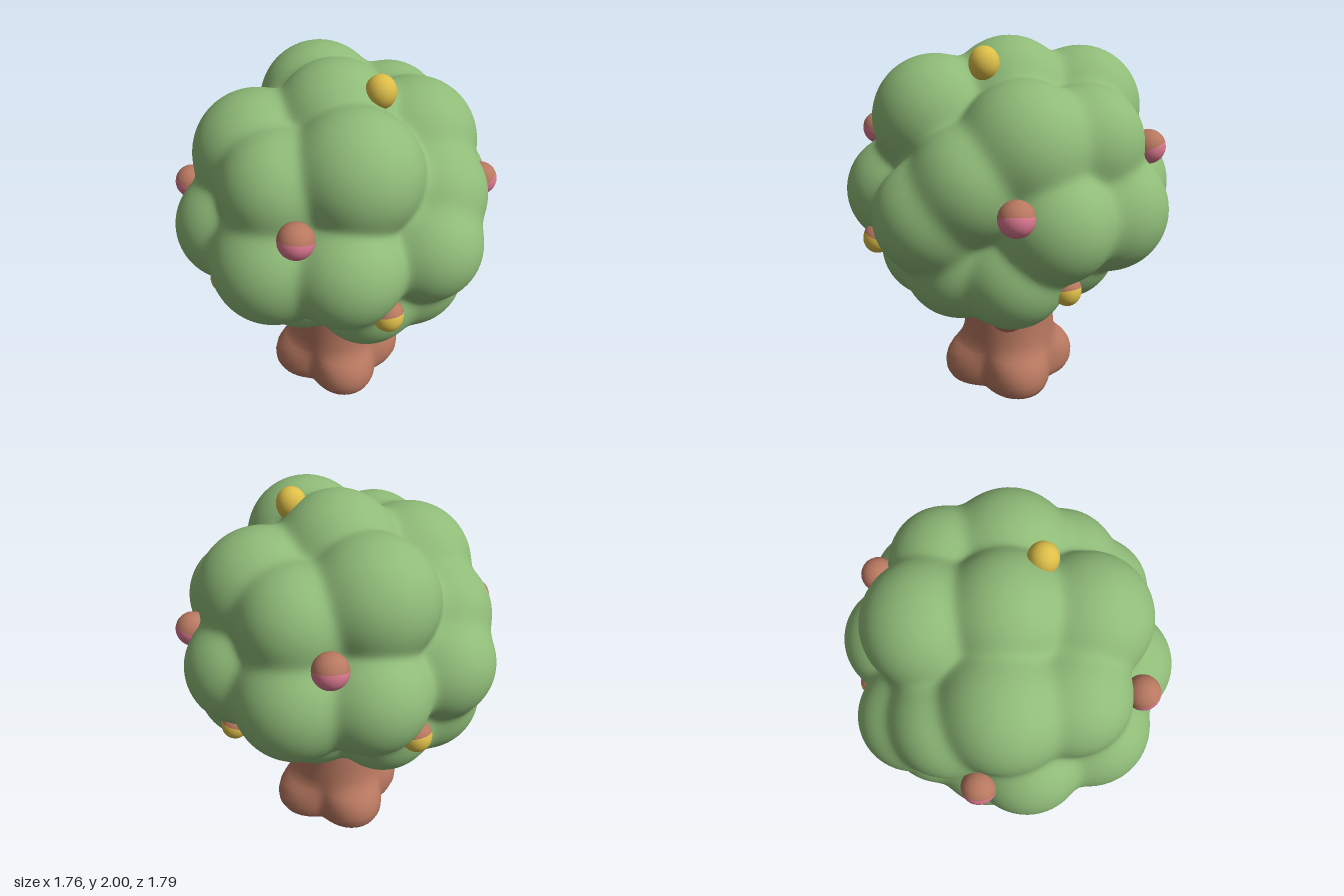
import * as THREE from 'three';
import { mergeVertices } from 'three/addons/utils/BufferGeometryUtils.js';

const mat = (name, color) => {
  const m = new THREE.MeshStandardMaterial({ color });
  m.name = name;
  return m;
};

// Foliage puffs as [x, y, z, radius]; each is repeated half a turn around y
const PAIRED_PUFFS = [
  // upper ring
  [0.28, 1.6, 0.27, 0.325], [-0.3, 1.53, 0.27, 0.333], [-0.04, 1.52, 0.47, 0.29],
  // middle ring
  [0, 1.17, 0.58, 0.317], [0.345, 1.19, 0.465, 0.295], [-0.345, 1.19, 0.465, 0.295],
  [0.59, 1.2, 0.1, 0.288], [0.5, 1.37, -0.08, 0.3],
  // lower ring
  [0.35, 0.9, 0.27, 0.275], [-0.42, 0.905, 0.27, 0.28], [0, 0.9, 0.34, 0.28],
];
// Lower sides, crown and core
const SINGLE_PUFFS = [
  [0.46, 0.92, 0.02, 0.295], [-0.5, 0.92, -0.02, 0.3], [0, 1.68, 0, 0.317], [0, 1.2, 0, 0.5],
];

// Canopy: a fine ball shrink-wrapped onto the softly blended puffs
function canopyGeometry() {
  const balls = PAIRED_PUFFS.flatMap(([x, y, z, r]) => [[x, y, z, r], [-x, y, -z, r]]);
  balls.push(...SINGLE_PUFFS);
  const k = 0.022;
  const field = (p) => {
    let sum = 0;
    for (const [x, y, z, r] of balls) {
      sum += Math.exp(-(Math.hypot(p.x - x, p.y - y, p.z - z) - r) / k);
    }
    return -k * Math.log(sum);
  };
  let geo = new THREE.IcosahedronGeometry(1, 44);
  geo.deleteAttribute('uv');
  geo.deleteAttribute('normal');
  geo = mergeVertices(geo, 1e-5);
  const pos = geo.attributes.position;
  const centre = new THREE.Vector3(0, 1.25, 0);
  const dir = new THREE.Vector3();
  const p = new THREE.Vector3();
  for (let i = 0; i < pos.count; i++) {
    dir.fromBufferAttribute(pos, i).normalize();
    let t = 1.1;
    for (let s = 0; s < 60; s++) {
      const d = field(p.copy(centre).addScaledVector(dir, t));
      t -= d;
      if (Math.abs(d) < 0.001) break;
    }
    p.copy(centre).addScaledVector(dir, t);
    pos.setXYZ(i, p.x, p.y, p.z);
  }
  geo.computeVertexNormals();
  return geo;
}

// Trunk: a turned profile whose foot swells into four diagonal roots
function trunkGeometry() {
  // [height, radius, root swelling]
  const rows = [
    [0, 0.001, 0], [0, 0.25, 0.08], [0.012, 0.268, 0.092], [0.05, 0.28, 0.1], [0.1, 0.282, 0.102],
    [0.15, 0.278, 0.094], [0.19, 0.272, 0.075], [0.22, 0.268, 0.048], [0.25, 0.265, 0.022],
    [0.3, 0.262, 0.004], [0.4, 0.256, 0], [0.55, 0.247, 0], [0.7, 0.24, 0], [0.95, 0.2, 0],
  ];
  const seg = 64, verts = [], index = [];
  rows.forEach(([y, r, swell], j) => {
    for (let i = 0; i < seg; i++) {
      const a = (i / seg) * Math.PI * 2;
      const rad = r + swell * Math.pow(Math.abs(Math.sin(2 * a)), 1.3);
      verts.push(Math.sin(a) * rad, y, Math.cos(a) * rad);
      if (j === 0) continue;
      const n = (i + 1) % seg, lo = (j - 1) * seg, hi = j * seg;
      index.push(lo + i, lo + n, hi + n, lo + i, hi + n, hi + i);
    }
  });
  const geo = new THREE.BufferGeometry();
  geo.setAttribute('position', new THREE.Float32BufferAttribute(verts, 3));
  geo.setIndex(index);
  geo.computeVertexNormals();
  return geo;
}

export function createModel() {
  const green = mat('leafGreen', 0x8fbb78);
  const brown = mat('barkBrown', 0xb87860);
  const yellow = mat('fruitYellow', 0xdebe48);
  const pink = mat('fruitPink', 0xdc7890);
  const tree = new THREE.Group();
  tree.name = 'tree';
  const add = (parent, name, geo, material) => {
    const mesh = new THREE.Mesh(geo, material);
    mesh.name = name;
    parent.add(mesh);
    return mesh;
  };
  const up = new THREE.Vector3(0, 1, 0);

  add(tree, 'canopy', canopyGeometry(), green);
  add(tree, 'trunk', trunkGeometry(), brown);

  // Two tapered, round-tipped stub branches
  const stub = new THREE.LatheGeometry(
    [[0.125, 0], [0.112, 0.12], [0.098, 0.25], [0.085, 0.34], [0.07, 0.39], [0.042, 0.42], [0, 0.43]]
      .map(([r, y]) => new THREE.Vector2(r, y)), 24);
  for (const s of [1, -1]) {
    const branch = add(tree, s > 0 ? 'leftBranch' : 'rightBranch', stub, brown);
    branch.position.set(0.1 * s, 0.42, -0.05 * s);
    branch.quaternion.setFromUnitVectors(up, new THREE.Vector3(0.28 * s, 0.31, -0.18 * s).normalize());
  }

  // Fruit with a brown cap that leans towards the trunk
  const addFruit = (name, x, y, z, r, material, taper, lean) => {
    const fruit = new THREE.Group();
    fruit.name = name;
    fruit.position.set(x, y, z);
    const split = Math.PI * 0.48;
    const body = new THREE.SphereGeometry(r, 24, 14, 0, Math.PI * 2, split, Math.PI - split);
    body.scale(1, taper, 1);
    body.translate(0, r * Math.cos(split) * (1 - taper), 0);
    add(fruit, 'fruitBody', body, material);
    add(fruit, 'fruitCap', new THREE.SphereGeometry(r, 24, 12, 0, Math.PI * 2, 0, split), brown);
    const out = new THREE.Vector3(x, 0, z).normalize();
    fruit.quaternion.setFromUnitVectors(up, up.clone().addScaledVector(out, -lean).normalize());
    tree.add(fruit);
  };
  for (const s of [1, -1]) {
    addFruit('pinkFruit', 0.225 * s, 1.465, 0.7 * s, 0.089, pink, 1, 0.35);
    addFruit('pinkFruit', -0.64 * s, 1.325, 0.42 * s, 0.089, pink, 1, 0.45);
    addFruit('yellowFruit', 0.58 * s, 1, 0.455 * s, 0.079, yellow, 1.1, 0.42);
    addFruit('yellowFruit', -0.37 * s, 0.87, 0.55 * s, 0.075, yellow, 1.1, 0.35);
  }

  // Bare egg-shaped fruit at the crown
  const crown = add(tree, 'crownFruit', new THREE.SphereGeometry(0.077, 24, 16), yellow);
  crown.scale.y = 1.12;
  crown.position.set(0.245, 1.905, -0.005);
  return tree;
}
